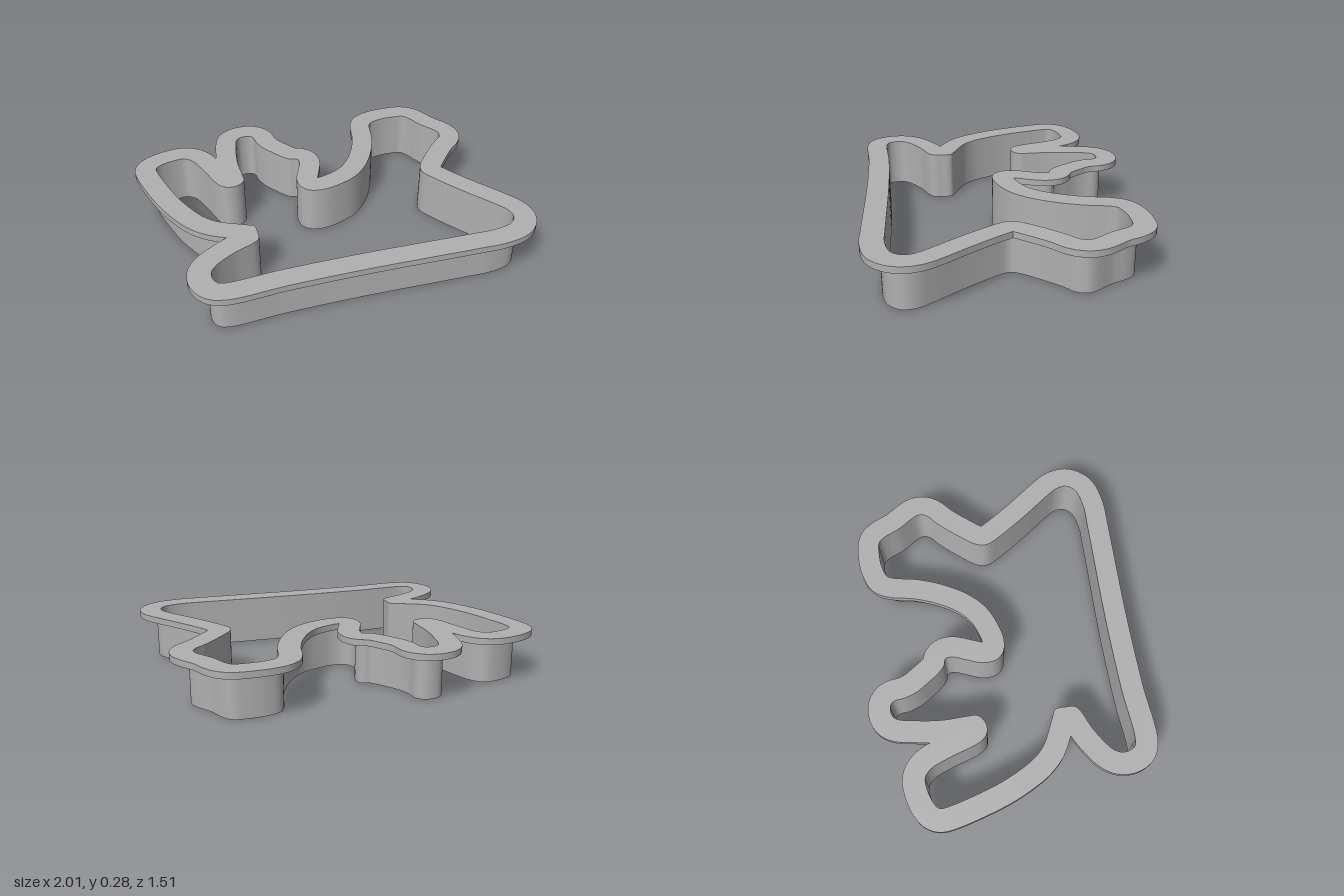
import * as THREE from 'three';
import { toCreasedNormals } from 'three/addons/utils/BufferGeometryUtils.js';

// Inner cutting outline as x, z pairs, clockwise seen from above
const OUTLINE = [
  // left lobe
  -0.88, -0.41, -0.88, -0.45, -0.85, -0.475, -0.77, -0.5, -0.71, -0.5, -0.67, -0.465, -0.63, -0.37,
  // narrow notch
  -0.565, -0.18, -0.525, -0.145, -0.47, -0.145, -0.425, -0.18, -0.42, -0.24, -0.42, -0.37,
  // middle lobe and its small bump
  -0.4, -0.51, -0.375, -0.61, -0.35, -0.632, -0.3, -0.635, -0.275, -0.615, -0.265, -0.55, -0.24, -0.48,
  -0.195, -0.41, -0.16, -0.36, -0.12, -0.32, -0.08, -0.305, -0.075, -0.27, -0.105, -0.19,
  // wide curved bay
  -0.135, -0.11, -0.13, -0.03, -0.09, 0.015, -0.02, 0.03, 0.08, 0.01, 0.19, -0.04, 0.285, -0.13,
  0.365, -0.26, 0.42, -0.4, 0.45, -0.53,
  // right lobe
  0.47, -0.565, 0.54, -0.588, 0.62, -0.592, 0.69, -0.582, 0.72, -0.545, 0.755, -0.465, 0.83, -0.34,
  0.82, -0.295, 0.75, -0.23, 0.66, -0.13,
  // right waist and foot
  0.585, -0.03, 0.575, 0.03, 0.62, 0.12, 0.725, 0.28, 0.83, 0.425, 0.875, 0.5, 0.88, 0.555,
  0.84, 0.605, 0.735, 0.63, 0.59, 0.628,
  // base edge and left foot
  0, 0.61, -0.4, 0.61, -0.715, 0.618, -0.74, 0.59, -0.745, 0.54, -0.72, 0.495, -0.61, 0.42,
  // left waist and side
  -0.465, 0.35, -0.455, 0.295, -0.46, 0.235, -0.505, 0.21, -0.64, 0.14, -0.7, 0.08, -0.755, -0.015,
  -0.81, -0.145,
];

const controls = [];
for (let i = 0; i < OUTLINE.length; i += 2) controls.push(new THREE.Vector3(OUTLINE[i], OUTLINE[i + 1], 0));
const curve = new THREE.CatmullRomCurve3(controls, true, 'centripetal');

// Samples the outline with its outward direction
function sampleOutline(count) {
  return Array.from({ length: count }, (_, i) => {
    const p = curve.getPoint(i / count);
    const t = curve.getTangent(i / count);
    return { point: new THREE.Vector2(p.x, p.y), out: new THREE.Vector2(t.y, -t.x) };
  });
}

// Offsets the outline outward, dropping points that fold over in the notches
function offsetOutline(samples, distance) {
  const limit = distance - 0.001;
  return samples
    .map((s) => s.point.clone().addScaledVector(s.out, distance))
    .filter((p) => samples.every((s) => s.point.distanceTo(p) > limit));
}

// Upright band between the outline and its offset
function band(name, samples, width, bottom, top, material) {
  const shape = new THREE.Shape(offsetOutline(samples, width));
  shape.holes.push(new THREE.Path(samples.map((s) => s.point)));
  const geometry = new THREE.ExtrudeGeometry(shape, { depth: top - bottom, bevelEnabled: false });
  geometry.rotateX(Math.PI / 2);
  geometry.translate(0, top, 0);
  const mesh = new THREE.Mesh(toCreasedNormals(geometry, 0.6), material);
  mesh.name = name;
  return mesh;
}

export function createModel() {
  const grey = new THREE.MeshStandardMaterial({ color: 0xb0b0b0 });
  grey.name = 'grey plastic';
  const samples = sampleOutline(controls.length * 8);

  const group = new THREE.Group();
  group.name = 'cookieCutter';
  group.add(
    band('cuttingWall', samples, 0.025, 0, 0.24, grey),
    band('topFlange', samples, 0.12, 0.24, 0.275, grey),
  );
  return group;
}
